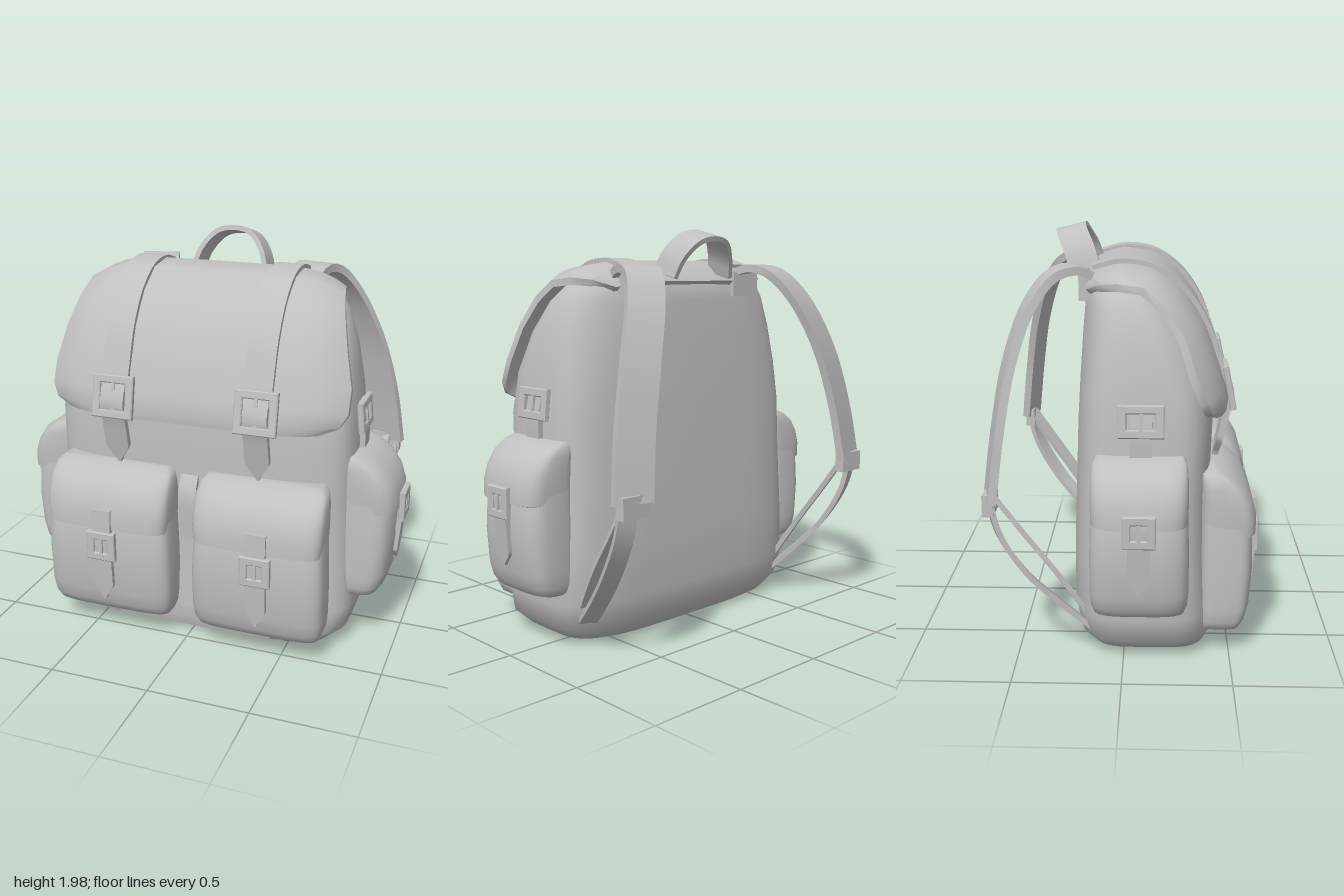
import * as THREE from 'three';
import { mergeVertices, toCreasedNormals } from 'three/addons/utils/BufferGeometryUtils.js';

const V = (x, y, z) => new THREE.Vector3(x, y, z);
const canvas = new THREE.MeshStandardMaterial({ color: 0xc0c0c0 });
canvas.name = 'grey canvas';

function add(parent, name, geometry, crease = 0.8) {
  const mesh = new THREE.Mesh(toCreasedNormals(geometry, crease), canvas);
  mesh.name = name;
  parent.add(mesh);
  return mesh;
}

// Capped skin over equal-length rings of points, always facing outward
function loft(rings) {
  const n = rings[0].length, pts = rings.flat(), tris = [];
  for (let r = 0; r < rings.length - 1; r++) for (let i = 0; i < n; i++) {
    const a = r * n + i, b = r * n + (i + 1) % n;
    tris.push([a, b, a + n], [b, b + n, a + n]);
  }
  for (const r of [0, rings.length - 1]) {
    const c = pts.length;
    pts.push(rings[r].reduce((s, p) => s.add(p), V(0, 0, 0)).divideScalar(n));
    for (let i = 0; i < n; i++) {
      const a = r * n + i, b = r * n + (i + 1) % n;
      tris.push(r ? [a, b, c] : [b, a, c]);
    }
  }
  let volume = 0;
  for (const [a, b, c] of tris) volume += pts[a].dot(pts[b].clone().cross(pts[c]));
  const g = new THREE.BufferGeometry().setFromPoints(pts);
  g.setIndex(tris.flatMap(([a, b, c]) => (volume < 0 ? [a, c, b] : [a, b, c])));
  return mergeVertices(g);
}

// Rounded-square horizontal section
function section(y, hw, front, back, power = 4.5, n = 40) {
  const ring = [];
  for (let i = 0; i < n; i++) {
    const a = (i / n) * Math.PI * 2, c = Math.cos(a), s = Math.sin(a);
    const f = v => Math.sign(v) * Math.abs(v) ** (2 / power);
    ring.push(V(hw * f(c), y, (front + back) / 2 + (front - back) / 2 * f(s)));
  }
  return ring;
}

// Flat strap along a curve; side is its width direction, tip its tapered share
function ribbon(points, side, width, thick, tip = 0, steps = 28) {
  const curve = new THREE.CatmullRomCurve3(points.map(p => V(...p)));
  const w = V(...side).normalize(), rings = [];
  for (let i = 0; i <= steps; i++) {
    const u = i / steps, p = curve.getPointAt(u);
    const nrm = curve.getTangentAt(u).cross(w).normalize().multiplyScalar(thick / 2);
    const k = tip && u > 1 - tip ? Math.max(0.12, (1 - u) / tip) : 1;
    const h = w.clone().multiplyScalar(width * k / 2);
    rings.push([[1, 1], [-1, 1], [-1, -1], [1, -1]].map(([a, b]) =>
      p.clone().addScaledVector(h, a).addScaledVector(nrm, b)));
  }
  return loft(rings);
}

// Square frame with prong, facing +z
function buckle(parent, name, w, h, x, y, z, tilt = 0) {
  const group = new THREE.Group();
  group.name = name;
  const rect = (s, a, b) => s.moveTo(-a, -b).lineTo(a, -b).lineTo(a, b).lineTo(-a, b).lineTo(-a, -b);
  const shape = rect(new THREE.Shape(), w / 2, h / 2);
  shape.holes.push(rect(new THREE.Path(), w / 2 - 0.03, h / 2 - 0.03));
  add(group, 'buckleFrame', new THREE.ExtrudeGeometry(shape,
    { depth: 0.02, bevelSize: 0.005, bevelThickness: 0.005, bevelSegments: 1 }), 0.3);
  add(group, 'bucklePin', new THREE.BoxGeometry(0.018, h - 0.03, 0.018).translate(0, 0, 0.015), 0.3);
  group.position.set(x, y, z);
  group.rotation.x = tilt;
  parent.add(group);
}

// Bellows pocket facing +z with flap, strap and buckle
function pocket(name, w, h, d, power, strapTop, buckleAt, strapEnd, strapX) {
  const g = new THREE.Group();
  g.name = name;
  const rows = list => loft(list.map(([y, k, z]) => section(y * h, k * w / 2, z * d, -0.05, power)));
  add(g, 'pocketBag', rows([[0, 0.84, 0.6], [0.02, 0.93, 0.76], [0.07, 0.98, 0.86], [0.16, 1, 0.94],
    [0.4, 1, 1], [0.7, 0.97, 0.95], [0.92, 0.93, 0.6], [0.96, 0.8, 0.35]]));
  add(g, 'pocketFlap', rows([[0.61, 0.9, 0.98], [0.62, 0.96, 1.06], [0.72, 0.98, 1.05], [0.82, 0.98, 0.95],
    [0.91, 0.97, 0.76], [0.97, 0.94, 0.5], [1, 0.86, 0.28]]));
  add(g, 'pocketStrap', ribbon([[strapX, strapTop * h, d * 1.04], [strapX, buckleAt * h + 0.02, d * 1.07],
    [strapX, (buckleAt + strapEnd) / 2 * h, d * 1.03], [strapX, strapEnd * h, d * 0.97]],
    [1, 0, 0], 0.1, 0.025, 0.16), 0.5);
  buckle(g, 'pocketBuckle', 0.14, 0.14, strapX, buckleAt * h, d * 1.06);
  return g;
}

export function createModel() {
  const pack = new THREE.Group();
  pack.name = 'backpack';

  // Main bag: height, half width, front z, back z, corner squareness
  const body = [[0.01, 0.6, 0.38, -0.16], [0.03, 0.69, 0.42, -0.19], [0.1, 0.77, 0.44, -0.23],
    [0.22, 0.8, 0.43, -0.25], [0.5, 0.785, 0.41, -0.25], [0.8, 0.77, 0.41, -0.24], [1.1, 0.765, 0.42, -0.23],
    [1.3, 0.745, 0.4, -0.22, 4.2], [1.5, 0.71, 0.33, -0.21, 3.5], [1.65, 0.66, 0.24, -0.2, 3],
    [1.73, 0.6, 0.16, -0.19, 2.8], [1.78, 0.48, 0.09, -0.15, 2.8]];
  add(pack, 'mainBag', loft(body.map(r => section(...r))));

  // Gusset fold between the front pockets
  add(pack, 'centreFold', ribbon([[-0.01, 0.86, 0.4], [-0.01, 0.78, 0.435], [-0.01, 0.5, 0.43], [-0.01, 0.15, 0.44]],
    [1, 0, 0], 0.09, 0.03), 0.5);

  // Lid wrapping over the top: y, z, half width, edge drop
  const lid = [[1.74, -0.21, 0.48, 0.04], [1.81, -0.15, 0.58, 0.07], [1.84, -0.03, 0.63, 0.08],
    [1.82, 0.12, 0.655, 0.08], [1.73, 0.25, 0.68, 0.09], [1.58, 0.36, 0.715, 0.1], [1.4, 0.43, 0.755, 0.11],
    [1.28, 0.47, 0.755, 0.1], [1.2, 0.49, 0.72, 0.09], [1.15, 0.485, 0.64, 0.06]];
  const lidRings = lid.map(([y, z, hw, drop], r) => {
    const a = lid[Math.max(r - 1, 0)], b = lid[Math.min(r + 1, lid.length - 1)];
    const out = V(0, b[1] - a[1], a[0] - b[0]).normalize();
    const ring = [];
    for (const [dir, depth] of [[1, 0], [-1, 0.035]]) for (let i = 0; i <= 24; i++) {
      const s = dir * (i / 12 - 1);
      ring.push(V(s * hw, y, z).addScaledVector(out, -drop * Math.abs(s) ** 6 - depth));
    }
    return ring;
  });
  add(pack, 'lid', loft(lidRings), 0.9);

  // Lid straps with buckles and pointed tails
  for (const x of [-0.37, 0.35]) {
    const path = lid.slice(1, 8).map(([y, z], i) => [x, y, z + (i > 2 ? 0.008 : 0)]);
    add(pack, 'lidStrap', ribbon(path, [1, 0, 0], 0.14, 0.022), 0.5);
    add(pack, 'lidStrapTail', ribbon([[x, 1.34, 0.455], [x, 1.22, 0.5], [x, 1.1, 0.475], [x, 0.9, 0.43]],
      [1, 0, 0], 0.12, 0.03, 0.2), 0.5);
    buckle(pack, 'lidBuckle', 0.2, 0.2, x, 1.25, 0.48, -0.2);
  }

  // Two front pockets
  for (const s of [-1, 1]) {
    const p = pocket('frontPocket', 0.66, 0.78, 0.21, 5, 0.75, 0.51, 0.12, s < 0 ? 0 : 0.02);
    p.position.set(s < 0 ? -0.395 : 0.38, 0.12, 0.4);
    pack.add(p);
  }

  // Side pockets, each with a small buckled tab above
  for (const s of [-1, 1]) {
    const p = pocket('sidePocket', 0.45, 0.73, 0.24, 3.6, 0.7, 0.62, 0.2, 0);
    p.position.set(s * 0.725, 0.28, 0.075);
    p.rotation.y = s * Math.PI / 2;
    pack.add(p);
    const tab = new THREE.Group();
    tab.name = 'sideTab';
    add(tab, 'sideTabStrap', ribbon([[0, 0.98, 0.05], [0, 1.1, 0.05], [0, 1.24, 0.025]], [1, 0, 0], 0.1, 0.03), 0.5);
    buckle(tab, 'sideTabBuckle', 0.2, 0.14, 0, 1.17, 0.04, -0.1);
    tab.position.set(s * 0.725, 0, 0.08);
    tab.rotation.y = s * Math.PI / 2;
    pack.add(tab);
  }

  // Shoulder straps: padded upper, two webbing strands below, adjuster between
  for (const s of [-1, 1]) {
    const strap = (name, points, side, width, thick) => add(pack, name,
      ribbon(points.map(([x, y, z]) => [s * x, y, z]), [s * side[0], side[1], side[2]], width, thick), 0.5);
    strap('shoulderStrap', [[0.38, 1.74, -0.12], [0.41, 1.8, -0.22], [0.455, 1.78, -0.33],
      [0.535, 1.65, -0.435], [0.64, 1.4, -0.52], [0.72, 1.1, -0.57], [0.765, 0.8, -0.605]], [1, 0, 0.25], 0.19, 0.04);
    strap('outerWebbing', [[0.79, 0.82, -0.61], [0.785, 0.64, -0.565], [0.76, 0.44, -0.45],
      [0.71, 0.27, -0.3], [0.66, 0.1, -0.13]], [1, 0.2, 0.3], 0.09, 0.025);
    strap('innerWebbing', [[0.75, 0.82, -0.6], [0.735, 0.63, -0.465], [0.71, 0.4, -0.3],
      [0.66, 0.1, -0.11]], [1, 0.2, 0.3], 0.08, 0.025);
    const adjuster = add(pack, 'strapAdjuster', new THREE.BoxGeometry(0.15, 0.1, 0.05), 0.3);
    adjuster.position.set(s * 0.765, 0.79, -0.605);
    const anchor = add(pack, 'strapAnchor', new THREE.BoxGeometry(0.18, 0.12, 0.05), 0.3);
    anchor.position.set(s * 0.37, 1.72, -0.19);
  }

  // Carry handle leaning backwards
  add(pack, 'carryHandle', ribbon([[-0.19, 1.77, -0.2], [-0.16, 1.86, -0.23], [-0.09, 1.94, -0.27],
    [0, 1.96, -0.28], [0.09, 1.94, -0.27], [0.16, 1.86, -0.23], [0.19, 1.77, -0.2]],
    [0, 0.25, 1], 0.15, 0.025), 0.5);

  return pack;
}
